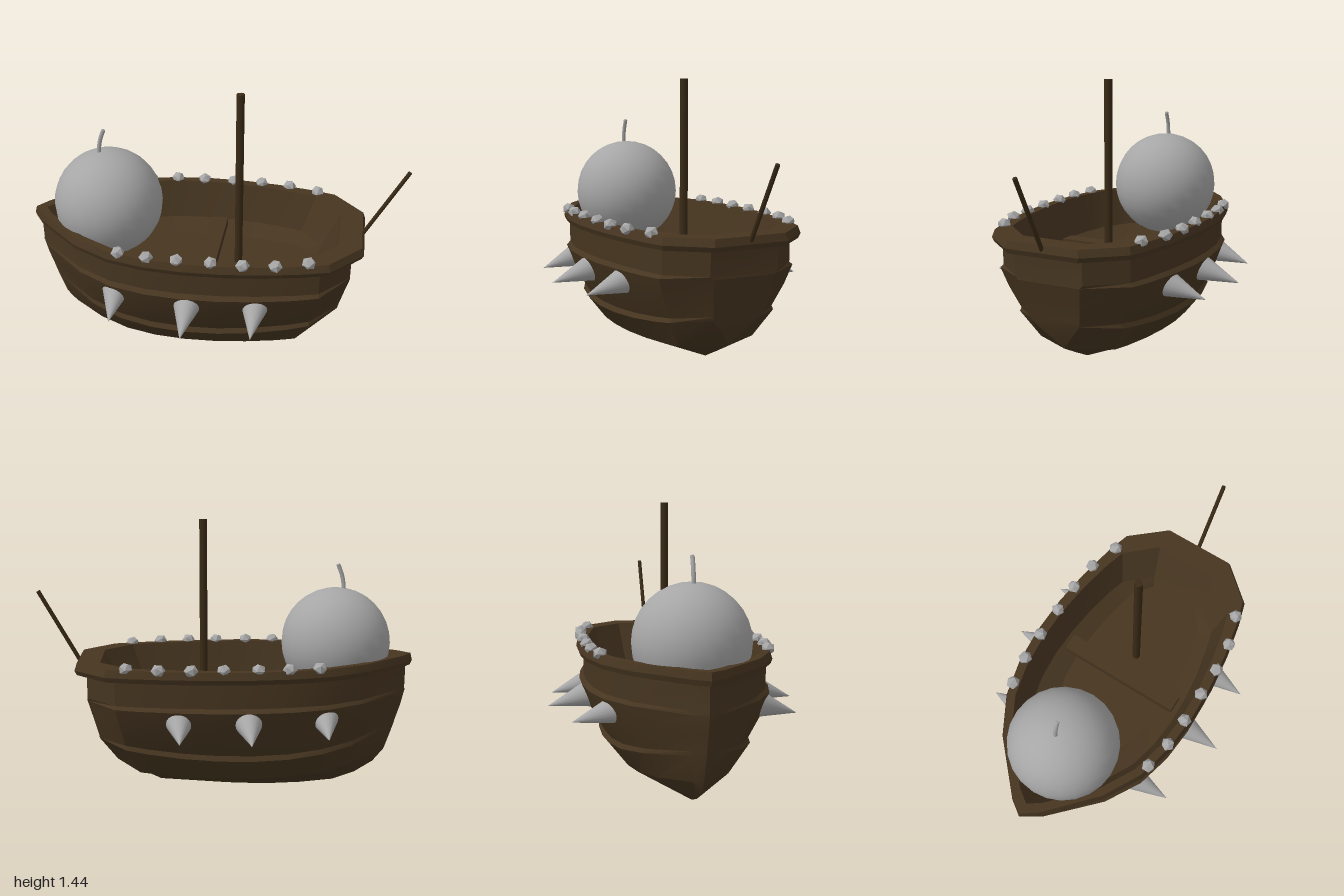
import * as THREE from 'three';
import { toCreasedNormals } from 'three/addons/utils/BufferGeometryUtils.js';

const mat = (name, color) => {
  const m = new THREE.MeshStandardMaterial({ color });
  m.name = name;
  return m;
};

// Stations from bow to stern: position along the length and relative half-width
const U = [0, 0.03, 0.17, 0.28, 0.39, 0.5, 0.615, 0.73, 0.84, 0.91, 1];
const F = [0, 0.16, 0.64, 0.865, 0.965, 1, 0.99, 0.94, 0.86, 0.785, 0];
// Keel line, one x, y pair per station
const KEEL = [[-0.86, 0.19], [-0.8, 0.12], [-0.7, 0.06], [-0.58, 0.02], [-0.4, 0.005], [-0.2, 0],
  [0, 0.01], [0.18, 0.025], [0.36, 0.04], [0.48, 0.098], [0.592, 0.155]];
// Hull levels: bow x, stern x, y at bow, middle and stern, half-width, stern half-width
const LEVELS = [
  [-0.86, 0.592, 0.19, 0.12, 0.155, 0.275, 0],       // bilge
  [-0.91, 0.675, 0.33, 0.24, 0.31, 0.375, 0.135],    // lower plank edge
  [-0.915, 0.678, 0.35, 0.265, 0.33, 0.36, 0.14],
  [-0.945, 0.705, 0.44, 0.40, 0.43, 0.435, 0.155],
  [-0.965, 0.73, 0.52, 0.515, 0.52, 0.478, 0.17],    // upper plank edge
  [-0.963, 0.728, 0.535, 0.535, 0.535, 0.455, 0.185],
  [-0.965, 0.73, 0.655, 0.655, 0.655, 0.455, 0.185],
  [-0.99, 0.78, 0.66, 0.66, 0.66, 0.48, 0.19],       // gunwale
  [-1, 0.79, 0.685, 0.685, 0.685, 0.49, 0.2],
  [-0.99, 0.778, 0.722, 0.722, 0.722, 0.477, 0.19],
  [-0.93, 0.66, 0.722, 0.722, 0.722, 0.43, 0.18],
  [-0.82, 0.57, 0.52, 0.52, 0.52, 0.375, 0.155],     // inner ledge
  [-0.64, 0.54, 0.465, 0.465, 0.465, 0.28, 0.14],    // floor edge
  [-0.64, 0.54, 0.465, 0.465, 0.465, 0, 0],          // floor centre line
];

// Closed shell lofted from the keel up, over the gunwale and down to the floor
function hullGeometry() {
  const n = U.length, ring = 2 * n, pos = [], index = [];
  const addRing = (pts) => {
    pts.forEach(([x, y, z]) => pos.push(x, y, z));
    [...pts].reverse().forEach(([x, y, z]) => pos.push(x, y, -z));
  };
  addRing(KEEL.map(([x, y]) => [x, y, 0]));
  for (const [bow, stern, yBow, yMid, yStern, w, wStern] of LEVELS) {
    addRing(U.map((u, i) => {
      const end = u < 0.5 ? yBow : yStern;
      return [bow + (stern - bow) * u, yMid + (end - yMid) * (2 * u - 1) ** 2,
        i === n - 1 ? wStern : F[i] * w];
    }));
  }
  for (let k = 0; k < LEVELS.length; k++) {
    for (let j = 0; j < ring - 1; j++) {
      const a = k * ring + j, b = a + 1, c = b + ring, d = a + ring;
      index.push(a, b, c, a, c, d);
    }
  }
  const g = new THREE.BufferGeometry();
  g.setAttribute('position', new THREE.Float32BufferAttribute(pos, 3));
  g.setIndex(index);
  return toCreasedNormals(g, 0.4);
}

export function createModel() {
  const model = new THREE.Group();
  model.name = 'spikedBoat';
  const wood = mat('hull wood', 0x463520);
  const darkWood = mat('dark wood', 0x392a16);
  const metal = mat('grey metal', 0xa6a6a6);
  const stone = mat('grey stone', 0xa6a6a6);
  stone.flatShading = true;

  const add = (name, geometry, material) => {
    const m = new THREE.Mesh(geometry, material);
    m.name = name;
    model.add(m);
    return m;
  };
  // Rod or cone running between two points
  const between = (name, from, to, r0, r1, sides, material) => {
    const a = new THREE.Vector3(...from), b = new THREE.Vector3(...to);
    const dir = b.clone().sub(a);
    const m = add(name, new THREE.CylinderGeometry(r1, r0, dir.length(), sides), material);
    m.position.copy(a).add(b).multiplyScalar(0.5);
    m.quaternion.setFromUnitVectors(new THREE.Vector3(0, 1, 0), dir.normalize());
    return m;
  };

  add('hull', hullGeometry(), wood);
  add('bench', new THREE.BoxGeometry(0.09, 0.05, 0.685), wood).position.set(-0.025, 0.52, 0);

  between('mast', [0.125, 0.45, 0], [0.125, 1.44, 0], 0.021, 0.021, 10, darkWood);
  between('sternPole', [0.768, 0.68, 0], [0.988, 1.07, 0], 0.011, 0.011, 8, darkWood);

  // Round ball in the bow with a curved fuse
  add('ball', new THREE.SphereGeometry(0.289, 24, 16), metal).position.set(-0.58, 0.79, 0);
  const fusePath = new THREE.CatmullRomCurve3([[-0.62, 1.05], [-0.617, 1.1], [-0.607, 1.15], [-0.588, 1.2]]
    .map(([x, y]) => new THREE.Vector3(x, y, 0)));
  add('fuse', new THREE.TubeGeometry(fusePath, 8, 0.011, 8), metal);
  between('fuseTip', [-0.589, 1.198, 0], [-0.587, 1.203, 0], 0.011, 0.008, 8, metal);

  for (const s of [1, -1]) {
    const side = s > 0 ? 'front' : 'back';
    // Hull spikes: x, base z, tip z
    for (const [x, z0, z1] of [[-0.475, 0.335, 0.565], [-0.083, 0.42, 0.655], [0.26, 0.38, 0.61]]) {
      between(side + 'Spike', [x, 0.464, s * z0], [x + (x < -0.3 ? 0.01 : 0), 0.4, s * z1],
        0.077, 0, 20, metal);
    }
    // Faceted studs along the gunwale
    [[-0.435, 0.42], [-0.285, 0.445], [-0.13, 0.452], [0.04, 0.452], [0.2, 0.452], [0.36, 0.435], [0.52, 0.385]]
      .forEach(([x, z], i) => {
        const stud = add(side + 'Stud', new THREE.IcosahedronGeometry(0.037, 0), stone);
        stud.position.set(x, 0.727, s * z);
        stud.scale.y = 0.9;
        stud.rotation.y = s * 0.7 * i;
      });
  }
  return model;
}
